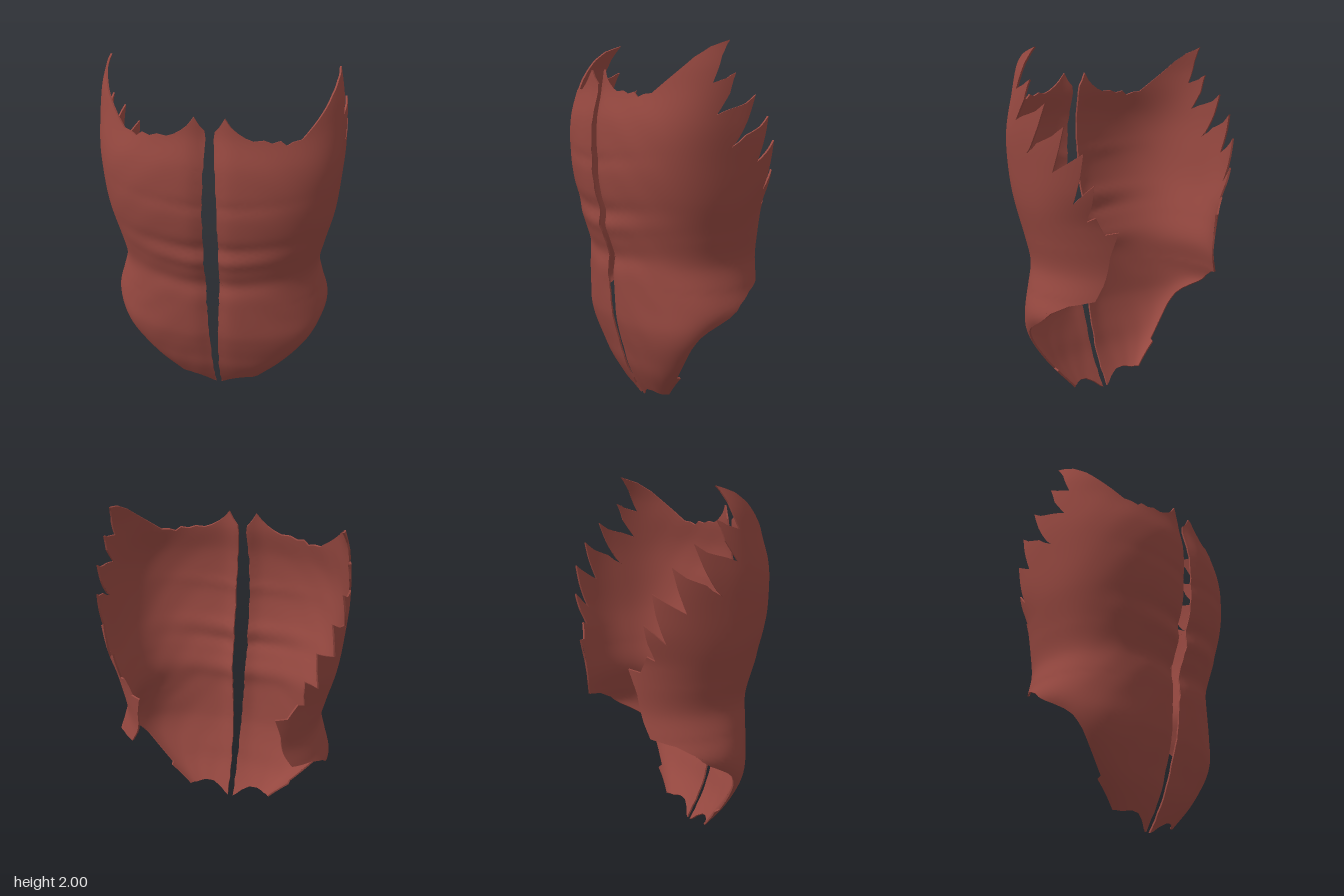
import * as THREE from 'three';

// Smooth interpolation through [y, value] stations
function curve(...pts) {
  const slope = (i) => {
    const a = pts[Math.max(i - 1, 0)], b = pts[Math.min(i + 1, pts.length - 1)];
    return (b[1] - a[1]) / (b[0] - a[0]);
  };
  return (y) => {
    if (y <= pts[0][0]) return pts[0][1];
    if (y >= pts[pts.length - 1][0]) return pts[pts.length - 1][1];
    let i = 0;
    while (y > pts[i + 1][0]) i++;
    const [y0, v0] = pts[i], [y1, v1] = pts[i + 1], h = y1 - y0, t = (y - y0) / h;
    const t2 = t * t, t3 = t2 * t;
    return v0 * (2 * t3 - 3 * t2 + 1) + v1 * (3 * t2 - 2 * t3)
      + h * (slope(i) * (t3 - 2 * t2 + t) + slope(i + 1) * (t3 - t2));
  };
}

// Torso cross-section by height: half width, front depth, centre, back depth, squareness
const width = curve([0, 0.2], [0.07, 0.257], [0.2, 0.378], [0.3, 0.46], [0.4, 0.53], [0.5, 0.585], [0.6, 0.62],
  [0.72, 0.59], [0.85, 0.56], [1, 0.585], [1.2, 0.63], [1.4, 0.65], [1.6, 0.66], [1.85, 0.645], [2, 0.605]);
const front = curve([0, 0.115], [0.1, 0.175], [0.2, 0.225], [0.3, 0.258], [0.4, 0.29], [0.5, 0.315], [0.7, 0.335],
  [0.9, 0.352], [1.1, 0.39], [1.3, 0.424], [1.45, 0.43], [1.6, 0.425], [1.75, 0.395], [1.85, 0.39], [2, 0.38]);
const centre = curve([0, 0.06], [0.2, 0.085], [0.4, 0.08], [0.5, 0.035], [0.6, -0.05], [0.7, -0.05], [2, -0.05]);
const back = curve([0, 0.465], [1.1, 0.465], [1.3, 0.5], [2, 0.5]);
const square = curve([0, 2.25], [0.5, 2.2], [0.85, 2.25], [1.1, 2.4], [1.4, 2.6], [1.55, 2.55], [1.85, 2.1], [2, 2]);
const backSquare = curve([0, 2.1], [1.1, 2.1], [1.35, 2.4], [1.5, 2.5], [2, 2.5]);
const midline = curve([0, 0.016], [0.5, 0.026], [0.9, 0.04], [1.4, 0.036], [1.77, 0.022]);

// Folds across the belly: height, depth, spread
const folds = [[0.84, -0.018, 0.06], [1.01, 0.012, 0.045], [1.1, -0.012, 0.045], [1.37, -0.006, 0.04]];
const bell = (d, spread) => Math.exp(-((d / spread) ** 2));

// Angle around the torso from a known x (front) or z (side)
const atX = (x, y) => [Math.asin(Math.min(1, x / width(y)) ** (square(y) / 2)), y];
function atZ(z, y) {
  const d = z - centre(y);
  if (d < 0) return [Math.acos(-(Math.min(1, -d / back(y)) ** (backSquare(y) / 2))), y];
  return [Math.acos(Math.min(1, d / (front(y) - centre(y))) ** (square(y) / 2)), y];
}

// Point on the muscle sheet at angle a and height y
function surface(a, y) {
  const s = Math.max(Math.sin(a), 0), c = Math.cos(a), zc = centre(y), w = width(y);
  if (c < 0) {
    const e = 2 / backSquare(y);
    return new THREE.Vector3(w * s ** e, y, zc - (-c) ** e * back(y));
  }
  const e = 2 / square(y), x = w * s ** e;
  let relief = -0.03 * bell(x, 0.07) * Math.min(1, y * 1.5);
  for (const [h, depth, spread] of folds) relief += depth * bell(y - h - 0.1 * x, spread) * bell(x, 0.4);
  relief += 0.002 * Math.sin(14 * a + 26 * y) * c * s;
  return new THREE.Vector3(x, y, zc + c ** e * (front(y) - zc) + relief * c);
}
function normalAt(a, y) {
  const h = 0.004;
  const da = surface(a + h, y).sub(surface(a - h, y));
  const dy = surface(a, y + h).sub(surface(a, y - h));
  return da.cross(dy).normalize();
}

function seeded(seed) {
  return () => (seed = (seed * 16807) % 2147483647) / 2147483647 - 0.5;
}

const STEP = 0.05, RIM = 0.01, BODY = 0.026;
const distance = (p, q) => Math.hypot((p[0] - q[0]) * 0.6, p[1] - q[1]);
const middle = (p, q) => [(p[0] + q[0]) / 2, (p[1] + q[1]) / 2];

// Outline of one half: lower hem, flank hem, serrated back, top, ragged midline
function outline() {
  const rnd = seeded(77), pts = [];
  for (const p of [[0.016, 0], [0.035, 0.01], [0.07, 0.04], [0.12, 0.068], [0.17, 0.075], [0.22, 0.065]]) pts.push(atX(...p));
  for (const p of [[0.082, 0.07], [0.082, 0.2], [0.108, 0.21], [0.11, 0.41], [0.08, 0.48], [-0.02, 0.55],
    [-0.15, 0.64], [-0.24, 0.69], [-0.345, 0.72], [-0.365, 0.8], [-0.39, 0.95], [-0.425, 1.08], [-0.385, 1.07],
    [-0.37, 1.16], [-0.335, 1.14], [-0.375, 1.23], [-0.4, 1.33], [-0.36, 1.29], [-0.3, 1.23],
    [-0.355, 1.38], [-0.375, 1.49], [-0.32, 1.45], [-0.22, 1.39], [-0.27, 1.52], [-0.295, 1.62], [-0.23, 1.57],
    [-0.13, 1.53], [-0.04, 1.47], [-0.14, 1.61], [-0.19, 1.73], [-0.13, 1.69], [0.045, 1.635],
    [-0.03, 1.74], [-0.07, 1.84], [-0.02, 1.815], [0.06, 1.79], [0, 1.92], [-0.06, 2],
    [0.05, 1.965], [0.13, 1.915], [0.2, 1.85]]) pts.push(atZ(...p));
  for (const p of [[0.45, 1.74], [0.41, 1.735], [0.38, 1.72], [0.35, 1.745], [0.31, 1.735], [0.27, 1.75], [0.22, 1.745],
    [0.18, 1.76], [0.14, 1.785], [0.11, 1.81], [0.075, 1.855], [0.05, 1.81], [0.025, 1.78]]) pts.push(atX(...p));
  for (let y = 1.74; y > 0.04; y -= 0.035) pts.push(atX(midline(y) + rnd() * 0.006, y));
  // even spacing along the border
  return pts.flatMap((p, i) => {
    const q = pts[(i + 1) % pts.length], n = Math.ceil(distance(p, q) / STEP);
    return Array.from({ length: n }, (_, k) => [p[0] + (q[0] - p[0]) * k / n, p[1] + (q[1] - p[1]) * k / n]);
  });
}

// Fill the outline and halve every edge that is too long
function fill(border) {
  const out = [];
  const stack = THREE.ShapeUtils.triangulateShape(border.map((p) => new THREE.Vector2(...p)), [])
    .map((f) => f.map((i) => border[i]));
  while (stack.length) {
    const [a, b, c] = stack.pop();
    const ab = distance(a, b), bc = distance(b, c), ca = distance(c, a), m = Math.max(ab, bc, ca);
    if (m <= STEP + 1e-6) {
      const turn = (b[0] - a[0]) * (c[1] - a[1]) - (b[1] - a[1]) * (c[0] - a[0]);
      out.push(turn > 0 ? [a, b, c] : [a, c, b]);
    } else if (m === ab) { const d = middle(a, b); stack.push([a, d, c], [d, b, c]); }
    else if (m === bc) { const d = middle(b, c); stack.push([a, b, d], [a, d, c]); }
    else { const d = middle(c, a); stack.push([a, b, d], [d, b, c]); }
  }
  return out;
}

// Outer skin, inner skin and rim of one half; side is 1 or -1
function sheet(border, faces, side) {
  const pos = [], nor = [];
  const add = (corners) => {
    for (const [p, n] of side > 0 ? corners : [...corners].reverse()) {
      pos.push(p.x * side, p.y, p.z);
      nor.push(n.x * side, n.y, n.z);
    }
  };
  const outer = ([a, y]) => [surface(a, y), normalAt(a, y)];
  // the sheet is thickest away from its border
  const inner = (p) => {
    const n = normalAt(...p);
    const inset = border.reduce((m, b) => Math.min(m, distance(p, b)), 1);
    const thick = RIM + (BODY - RIM) * THREE.MathUtils.smoothstep(inset, 0, 0.12);
    return [surface(...p).addScaledVector(n, -thick), n.negate()];
  };
  for (const f of faces) {
    add(f.map(outer));
    add([f[0], f[2], f[1]].map(inner));
  }
  border.forEach((p, i) => {
    const q = border[(i + 1) % border.length];
    const a = outer(p)[0], b = outer(q)[0], c = inner(q)[0], d = inner(p)[0];
    const n = d.clone().sub(a).cross(b.clone().sub(a)).normalize();
    add([[a, n], [d, n], [b, n]]);
    add([[d, n], [c, n], [b, n]]);
  });
  const g = new THREE.BufferGeometry();
  g.setAttribute('position', new THREE.Float32BufferAttribute(pos, 3));
  g.setAttribute('normal', new THREE.Float32BufferAttribute(nor, 3));
  return g;
}

export function createModel() {
  const group = new THREE.Group();
  group.name = 'abdominalMuscles';
  const muscle = new THREE.MeshStandardMaterial({ color: 0x964840 });
  muscle.name = 'muscle red';
  const border = outline(), faces = fill(border);
  for (const side of [1, -1]) {
    const mesh = new THREE.Mesh(sheet(border, faces, side), muscle);
    mesh.name = side > 0 ? 'leftMuscleSheet' : 'rightMuscleSheet';
    group.add(mesh);
  }
  return group;
}
